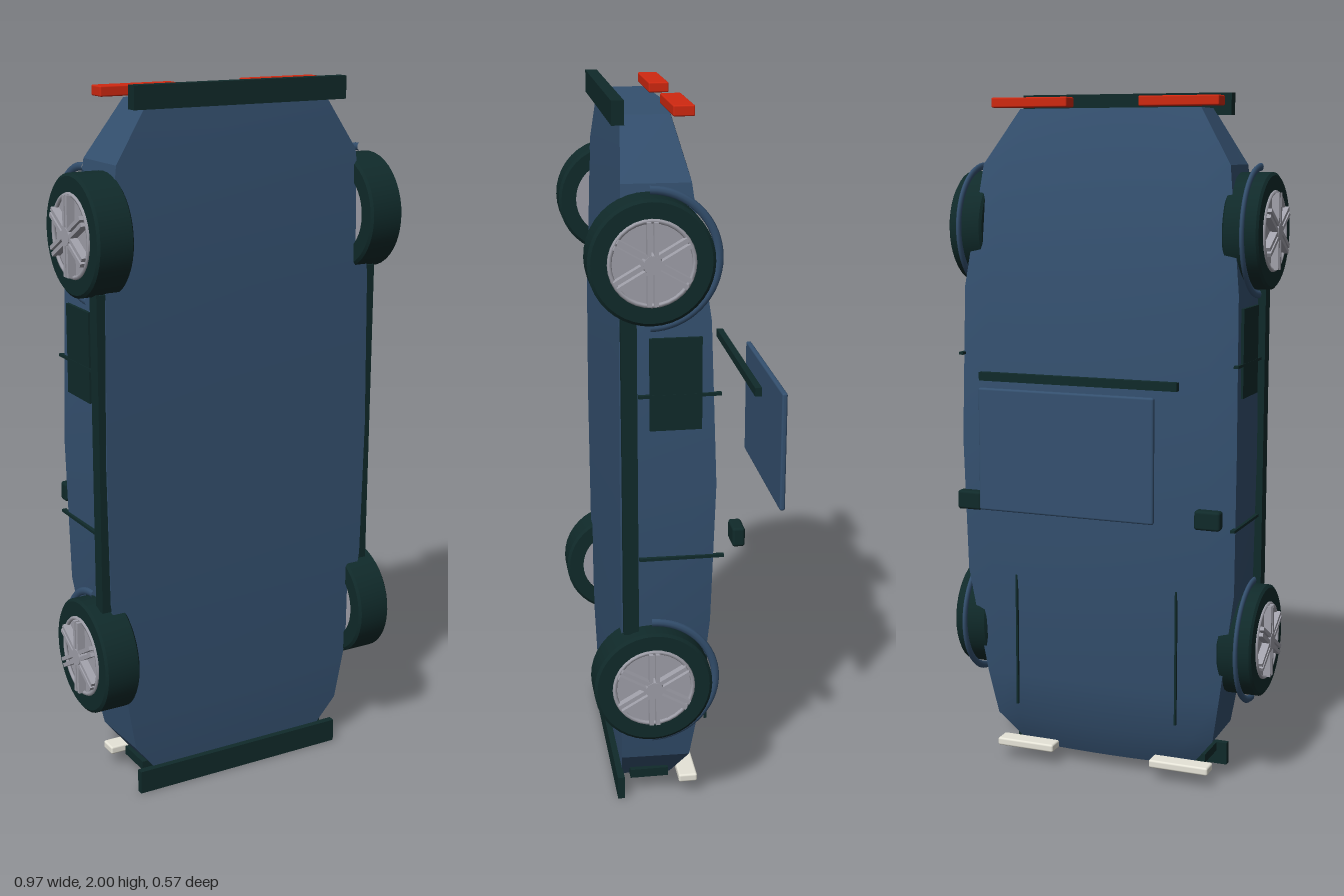
import * as THREE from 'three';
import { toCreasedNormals } from 'three/addons/utils/BufferGeometryUtils.js';
import { RoundedBoxGeometry } from 'three/addons/geometries/RoundedBoxGeometry.js';

const mat = (name, color, side = THREE.FrontSide) => {
  const m = new THREE.MeshStandardMaterial({ color, side });
  m.name = name;
  return m;
};

// Lofted shell: [y, half width, floor z, shoulder z, crown z]
function bodyGeometry() {
  const sections = [
    [0.04, 0.265, 0.185, 0.045, 0.03],
    [0.14, 0.345, 0.193, 0.0, -0.018],
    [0.28, 0.37, 0.197, -0.02, -0.042],
    [0.6, 0.418, 0.199, -0.045, -0.075],
    [1.0, 0.424, 0.2, -0.058, -0.087],
    [1.45, 0.418, 0.197, -0.043, -0.07],
    [1.8, 0.375, 0.185, 0.003, -0.02],
    [1.957, 0.275, 0.172, 0.043, 0.025],
  ];
  const crownSteps = 10, n = crownSteps + 3;
  const pos = [], idx = [];
  for (const [y, w, floor, shoulder, crown] of sections) {
    pos.push(w - 0.006, y, floor);
    for (let k = 0; k <= crownSteps; k++) {
      const t = 1 - (2 * k) / crownSteps;
      pos.push(w * t, y, crown + (shoulder - crown) * t * t);
    }
    pos.push(-w + 0.006, y, floor);
  }
  const last = (sections.length - 1) * n;
  for (let i = 0; i < last; i += n) {
    for (let j = 0; j < n; j++) {
      const k = (j + 1) % n;
      idx.push(i + j, i + k, i + n + k, i + j, i + n + k, i + n + j);
    }
  }
  for (let j = 1; j < n - 1; j++) {
    idx.push(0, j + 1, j, last, last + j, last + j + 1);
  }
  const g = new THREE.BufferGeometry();
  g.setAttribute('position', new THREE.Float32BufferAttribute(pos, 3));
  g.setIndex(idx);
  return toCreasedNormals(g, 0.4);
}

export function createModel() {
  const root = new THREE.Group();
  root.name = 'car';
  const blue = mat('blue paint', 0x34506f);
  const dark = mat('dark trim', 0x102a2a);
  const silver = mat('wheel silver', 0xa0a0aa);
  const red = mat('tail light red', 0xd02810);
  const white = mat('headlight white', 0xe6e4d8);

  const add = (name, geo, material, parent = root) => {
    const m = new THREE.Mesh(geo, material);
    m.name = name;
    parent.add(m);
    return m;
  };
  // Box given by its limits on each axis, optionally rounded
  const box = (name, [x0, x1], [y0, y1], [z0, z1], material, r = 0) => {
    const s = [x1 - x0, y1 - y0, z1 - z0];
    const geo = r ? new RoundedBoxGeometry(...s, 2, r) : new THREE.BoxGeometry(...s);
    const m = add(name, geo, material);
    m.position.set((x0 + x1) / 2, (y0 + y1) / 2, (z0 + z1) / 2);
    return m;
  };
  // Same box on both sides
  const pair = (name, [x0, x1], ...rest) => {
    box(name + 'Left', [x0, x1], ...rest);
    box(name + 'Right', [-x1, -x0], ...rest);
  };

  add('body', bodyGeometry(), blue);

  // Bumpers and floating roof parts
  box('rearBumper', [-0.323, 0.323], [1.938, 2], [0.167, 0.2], dark);
  box('frontBumper', [-0.33, 0.33], [0, 0.068], [0.185, 0.205], dark);
  box('roofPanel', [-0.26, 0.26], [0.843, 1.19], [-0.285, -0.269], blue, 0.006);
  box('roofBar', [-0.297, 0.297], [1.198, 1.222], [-0.204, -0.185], dark);

  // Lights, mirrors and side trim
  pair('tailLight', [0.108, 0.343], [1.96, 1.988], [-0.01, 0.046], red, 0.004);
  pair('headlight', [0.155, 0.338], [0.042, 0.066], [-0.026, 0.028], white, 0.006);
  pair('bumperVent', [0.2, 0.305], [0.05, 0.076], [0.055, 0.165], dark);
  pair('mirror', [0.328, 0.403], [0.805, 0.86], [-0.143, -0.108], dark, 0.008);
  pair('sill', [0.41, 0.437], [0.58, 1.47], [0.154, 0.195], dark);
  pair('sidePanel', [0.418, 0.427], [1.16, 1.41], [-0.018, 0.12], dark);
  pair('rearDoorSeam', [0.415, 0.428], [1.25, 1.258], [-0.07, 0.15], dark);
  pair('frontDoorSeam', [0.415, 0.428], [0.79, 0.798], [-0.08, 0.15], dark);
  pair('hoodLine', [0.248, 0.254], [0.2, 0.6], [-0.066, -0.058], dark);

  // Wheel geometry, axle along x, outside towards +x
  const tireProfile = [[0.112, -0.052], [0.155, -0.052], [0.163, -0.046], [0.163, 0.046],
    [0.155, 0.052], [0.112, 0.052], [0.112, -0.052]].map(([r, h]) => new THREE.Vector2(r, h));
  const tire = toCreasedNormals(new THREE.LatheGeometry(tireProfile, 40), 0.6).rotateZ(-Math.PI / 2);
  const disc = new THREE.CylinderGeometry(0.113, 0.113, 0.09, 32).rotateZ(-Math.PI / 2);
  const rimRing = new THREE.TorusGeometry(0.108, 0.006, 6, 32).rotateY(Math.PI / 2);
  const hub = new THREE.CylinderGeometry(0.024, 0.028, 0.03, 16).rotateZ(-Math.PI / 2);
  const spoke = new THREE.BoxGeometry(0.022, 0.094, 0.011);
  const arch = new THREE.TorusGeometry(0.177, 0.011, 8, 32, Math.PI)
    .rotateZ(-Math.PI / 2).rotateY(Math.PI / 2).scale(0.6, 1, 1);

  for (const [end, y] of [['front', 0.43], ['rear', 1.617]]) {
    for (const [side, s] of [['Left', 1], ['Right', -1]]) {
      const wheel = new THREE.Group();
      wheel.name = end + 'Wheel' + side;
      wheel.position.set(s * 0.417, y, 0.118);
      if (s < 0) wheel.rotation.y = Math.PI;
      root.add(wheel);
      add('tire', tire, dark, wheel);
      add('rimDisc', disc, silver, wheel);
      add('rimRing', rimRing, silver, wheel).position.x = 0.052;
      add('hub', hub, silver, wheel).position.x = 0.055;
      // Six twin spokes
      for (let k = 0; k < 6; k++) {
        const arm = new THREE.Group();
        arm.name = 'spokePair';
        arm.rotation.x = (k * Math.PI) / 3;
        wheel.add(arm);
        for (const d of [-1, 1]) add('spoke', spoke, silver, arm).position.set(0.058, 0.06, d * 0.009);
      }
      add(end + 'Arch' + side, arch, blue).position.set(s * 0.428, y, 0.118);
    }
  }
  return root;
}
